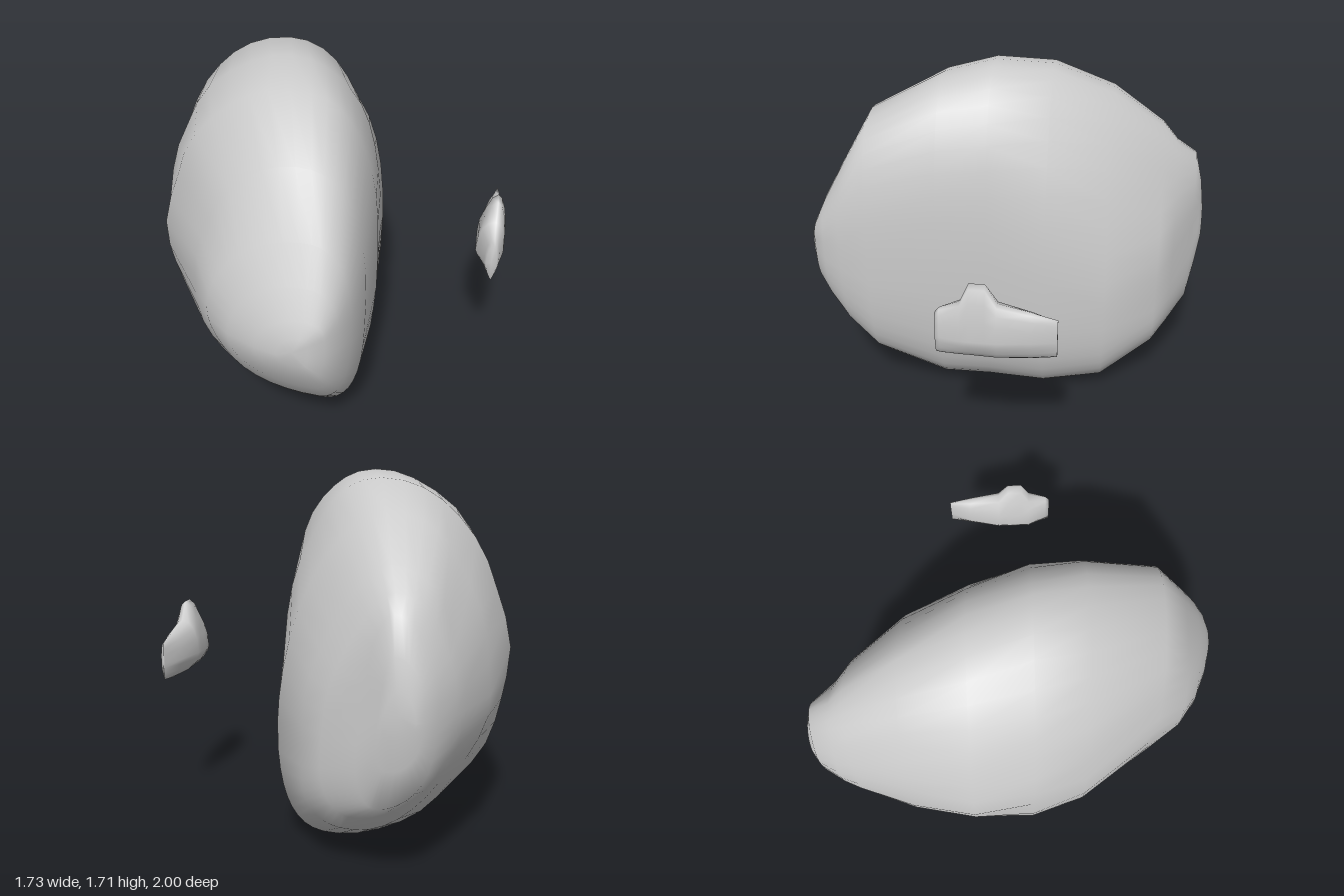
import * as THREE from 'three';

// keep a value in the middle half of a range
const inside = (v, lo, hi) => THREE.MathUtils.clamp(v, lo + 0.25 * (hi - lo), hi - 0.25 * (hi - lo));

// Closed loft along z. Each row: [z, xMin, xMax, yMin, yMax].
// shape(z) gives the x of the top and bottom points, the y of the -x and +x points,
// and the fullness of the quadrants (upper +x, upper -x, lower -x, lower +x).
function loft(rows, shape, segs, bump) {
  const pos = [], idx = [];
  const add = (x, y, z) => {
    const w = bump * (Math.sin(9 * x + 5 * z + 1) * Math.sin(7 * y - 4 * z) + 0.6 * Math.sin(13 * y + 11 * z + 6 * x));
    pos.push(x + w * (x < 0.1 ? 1 : 0.2), y + w * 0.3, z);
  };
  for (const [z, x0, x1, y0, y1] of rows) {
    const { top, bottom, minusY, plusY, powers } = shape(z);
    for (let j = 0; j < segs; j++) {
      const t = (j / segs) * Math.PI * 2;
      const c = Math.cos(t), s = Math.sin(t);
      const e = 2 / powers[Math.floor((4 * j) / segs)];
      const cx = inside(s >= 0 ? top : bottom, x0, x1);
      const cy = inside(c >= 0 ? plusY : minusY, y0, y1);
      add(cx + ((c >= 0 ? x1 : x0) - cx) * Math.abs(c) ** e, cy + ((s >= 0 ? y1 : y0) - cy) * Math.abs(s) ** e, z);
    }
  }
  for (let i = 0; i < rows.length - 1; i++) {
    for (let j = 0; j < segs; j++) {
      const a = i * segs + j, b = i * segs + ((j + 1) % segs);
      idx.push(a, b, a + segs, b, b + segs, a + segs);
    }
  }
  // end caps
  [0, rows.length - 1].forEach((i) => {
    const [z, x0, x1, y0, y1] = rows[i];
    const centre = pos.length / 3;
    add((x0 + x1) / 2, (y0 + y1) / 2, z);
    for (let j = 0; j < segs; j++) {
      const a = i * segs + j, b = i * segs + ((j + 1) % segs);
      if (i === 0) idx.push(centre, b, a);
      else idx.push(centre, a, b);
    }
  });
  const g = new THREE.BufferGeometry();
  g.setAttribute('position', new THREE.Float32BufferAttribute(pos, 3));
  g.setIndex(idx);
  g.computeVertexNormals();
  return g;
}

// flat +x side, slanting ridge, sloping shoulder at the upper rear
function boulderShape(z) {
  const front = THREE.MathUtils.smoothstep(z, -0.6, 0.2);
  return {
    top: -0.2 + 0.24 * z,
    bottom: -0.03 + 0.1 * z - 0.3 * Math.max(0, -z - 0.4),
    minusY: 0.76,
    plusY: 0.56 + 0.28 * front,
    powers: [1.7 + 0.8 * front, 2.1 - 0.1 * front, 1.9, 2.8],
  };
}

// spindle section, slimmer where the hump rises
function chipShape(z) {
  const hump = z > -0.02 && z < 0.09;
  return { top: 0.805, bottom: 0.805, minusY: 0.77, plusY: 0.77, powers: hump ? [1.9, 1.7, 1.4, 1.5] : [2.2, 2.2, 1.4, 1.5] };
}

export function createModel() {
  const group = new THREE.Group();
  const material = new THREE.MeshStandardMaterial({ color: 0xcccccc });
  const addPart = (name, geometry) => {
    const mesh = new THREE.Mesh(geometry, material);
    mesh.name = name;
    group.add(mesh);
  };

  // large boulder
  addPart('boulder', loft([
    [-1.0, -0.52, -0.38, 0.70, 0.88],
    [-0.98, -0.55, -0.35, 0.55, 1.02],
    [-0.94, -0.60, -0.27, 0.37, 1.18],
    [-0.84, -0.66, -0.10, 0.28, 1.25],
    [-0.76, -0.69, 0.01, 0.19, 1.35],
    [-0.50, -0.78, 0.18, 0.04, 1.55],
    [-0.20, -0.86, 0.225, 0.0, 1.68],
    [0.08, -0.84, 0.245, 0.035, 1.71],
    [0.32, -0.77, 0.265, 0.05, 1.66],
    [0.67, -0.53, 0.26, 0.20, 1.49],
    [0.82, -0.43, 0.22, 0.36, 1.22],
    [0.91, -0.31, 0.18, 0.50, 1.06],
    [0.97, -0.17, 0.13, 0.61, 0.93],
    [1.0, -0.07, 0.06, 0.70, 0.86],
  ], boulderShape, 40, 0.011));

  // small thin chip beside the boulder
  addPart('chip', loft([
    [-0.31, 0.80, 0.82, 0.69, 0.875],
    [-0.20, 0.755, 0.84, 0.675, 0.905],
    [-0.05, 0.72, 0.86, 0.665, 0.94],
    [0.0, 0.72, 0.86, 0.667, 1.03],
    [0.07, 0.72, 0.858, 0.67, 1.03],
    [0.11, 0.72, 0.855, 0.67, 0.94],
    [0.20, 0.765, 0.835, 0.675, 0.905],
    [0.22, 0.775, 0.825, 0.68, 0.88],
  ], chipShape, 16, 0));

  return group;
}
